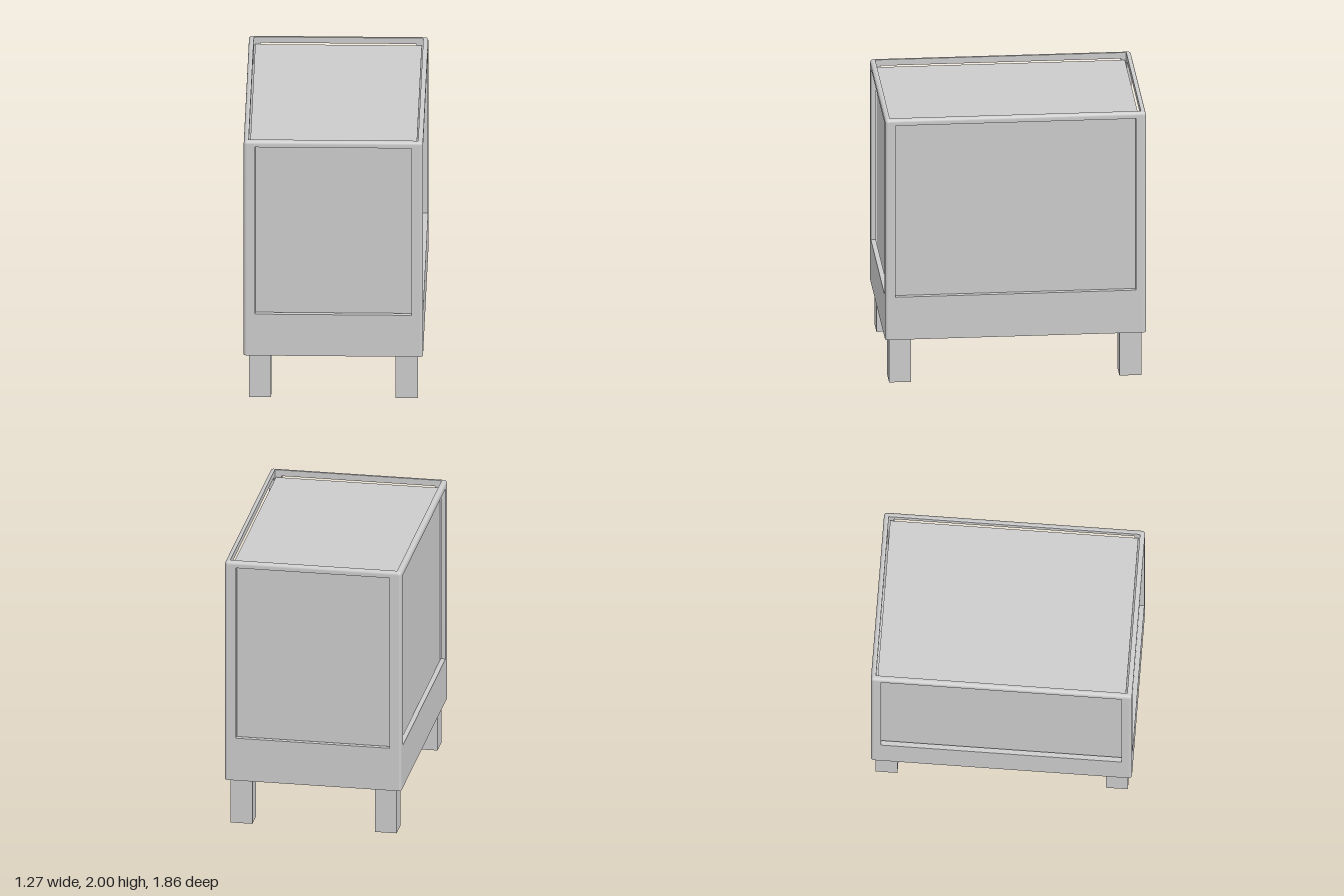
import * as THREE from 'three';

const W = 0.637, D = 0.93;          // half width, half depth
const Y0 = 0.335, Y1 = 2;           // body bottom and top
const T = 0.035, R = 0.022;         // wall thickness, edge radius

// Outline of the body pulled in by `inset`, with matching rounded corners
function outline(inset, y) {
  const r = Math.max(R - inset, 0), pts = [], n = 6;
  for (let c = 0; c < 4; c++) {
    const sx = c === 0 || c === 3 ? 1 : -1, sz = c < 2 ? 1 : -1;
    const cx = sx * (W - inset - r), cz = sz * (D - inset - r);
    for (let i = 0; i <= n; i++) {
      const a = (c + i / n) * Math.PI / 2;
      pts.push(new THREE.Vector3(cx + r * Math.cos(a), y, cz + r * Math.sin(a)));
    }
  }
  return pts;
}

// Skin between successive outlines given as [inset, y]
function loft(profile) {
  const pos = [], idx = [];
  const n = 28;
  for (const [inset, y] of profile) for (const p of outline(inset, y)) pos.push(p.x, p.y, p.z);
  for (let j = 0; j < profile.length - 1; j++) {
    for (let i = 0; i < n; i++) {
      const a = j * n + i, b = j * n + (i + 1) % n;
      idx.push(a, a + n, b, b, a + n, b + n);
    }
  }
  const g = new THREE.BufferGeometry();
  g.setAttribute('position', new THREE.Float32BufferAttribute(pos, 3));
  g.setIndex(idx);
  g.computeVertexNormals();
  return g;
}

// Flat wall with a window opening, facing +z
function wallGeometry(half, windowHalf) {
  const rect = (p, w, a, b) => p.moveTo(-w, a).lineTo(w, a).lineTo(w, b).lineTo(-w, b).closePath();
  const s = rect(new THREE.Shape(), half - T, Y0, Y1 - R);
  s.holes.push(rect(new THREE.Path(), windowHalf, 0.657, 1.955));
  return new THREE.ExtrudeGeometry(s, { depth: T, bevelEnabled: false });
}

// Corner post with a rounded outer edge; the outer corner points to +x, +y of the shape
function postGeometry() {
  const s = new THREE.Shape();
  s.moveTo(0, 0).lineTo(T, 0).lineTo(T, T - R);
  s.absarc(T - R, T - R, R, 0, Math.PI / 2, false);
  s.lineTo(0, T).closePath();
  const g = new THREE.ExtrudeGeometry(s, { depth: Y1 - R - Y0, bevelEnabled: false, curveSegments: 6 });
  return g.rotateX(-Math.PI / 2);
}

export function createModel() {
  const model = new THREE.Group();
  const mat = new THREE.MeshStandardMaterial({ color: 0xcccccc });
  const thin = new THREE.MeshStandardMaterial({ color: 0xcccccc, side: THREE.DoubleSide, flatShading: true });
  const add = (name, geo, x = 0, y = 0, z = 0, turn = 0, m = mat) => {
    const mesh = new THREE.Mesh(geo, m);
    mesh.name = name;
    mesh.position.set(x, y, z);
    mesh.rotation.y = turn;
    model.add(mesh);
  };

  // Four walls with window openings
  const endWall = wallGeometry(W, 0.555), sideWall = wallGeometry(D, 0.857);
  add('frontWall', endWall, 0, 0, D - T);
  add('backWall', endWall, 0, 0, -D + T, Math.PI);
  add('leftWall', sideWall, W - T, 0, 0, Math.PI / 2);
  add('rightWall', sideWall, -W + T, 0, 0, -Math.PI / 2);

  // Rounded corner posts; unturned, the post's outer corner is at +x, -z
  const post = postGeometry();
  const corners = [[1, -1, 0], [-1, -1, Math.PI / 2], [-1, 1, Math.PI], [1, 1, -Math.PI / 2]];
  for (const [sx, sz, turn] of corners) add('cornerPost', post, sx * (W - T), Y0, sz * (D - T), turn);

  // Rounded rim around the top
  const curve = [];
  for (let i = 0; i <= 6; i++) {
    const a = i / 6 * Math.PI / 2;
    curve.push([R * (1 - Math.cos(a)), Y1 - R + R * Math.sin(a)]);
  }
  add('topRim', loft(curve));
  add('topRimFlat', loft([[R, Y1], [T, Y1]]));
  add('topRimInside', loft([[T, Y1], [T, Y1 - R]]));

  // Inner box that shows through the windows and forms the recessed top
  const top = 1.948;
  add('innerPanels', new THREE.BoxGeometry(2 * 0.592, top - Y0 - 0.01, 2 * 0.884), 0, (top + Y0 + 0.01) / 2, 0);
  add('floorPlate', new THREE.BoxGeometry(2 * (W - T), 0.02, 2 * (D - T)), 0, Y0 + 0.01, 0);

  // Hollow square legs, open underneath
  const leg = new THREE.CylinderGeometry(0.157 / Math.SQRT2, 0.157 / Math.SQRT2, Y0, 4, 1, true).rotateY(Math.PI / 4);
  for (const sx of [1, -1]) for (const sz of [1, -1]) add('leg', leg, sx * 0.521, Y0 / 2, sz * 0.821, 0, thin);

  return model;
}
